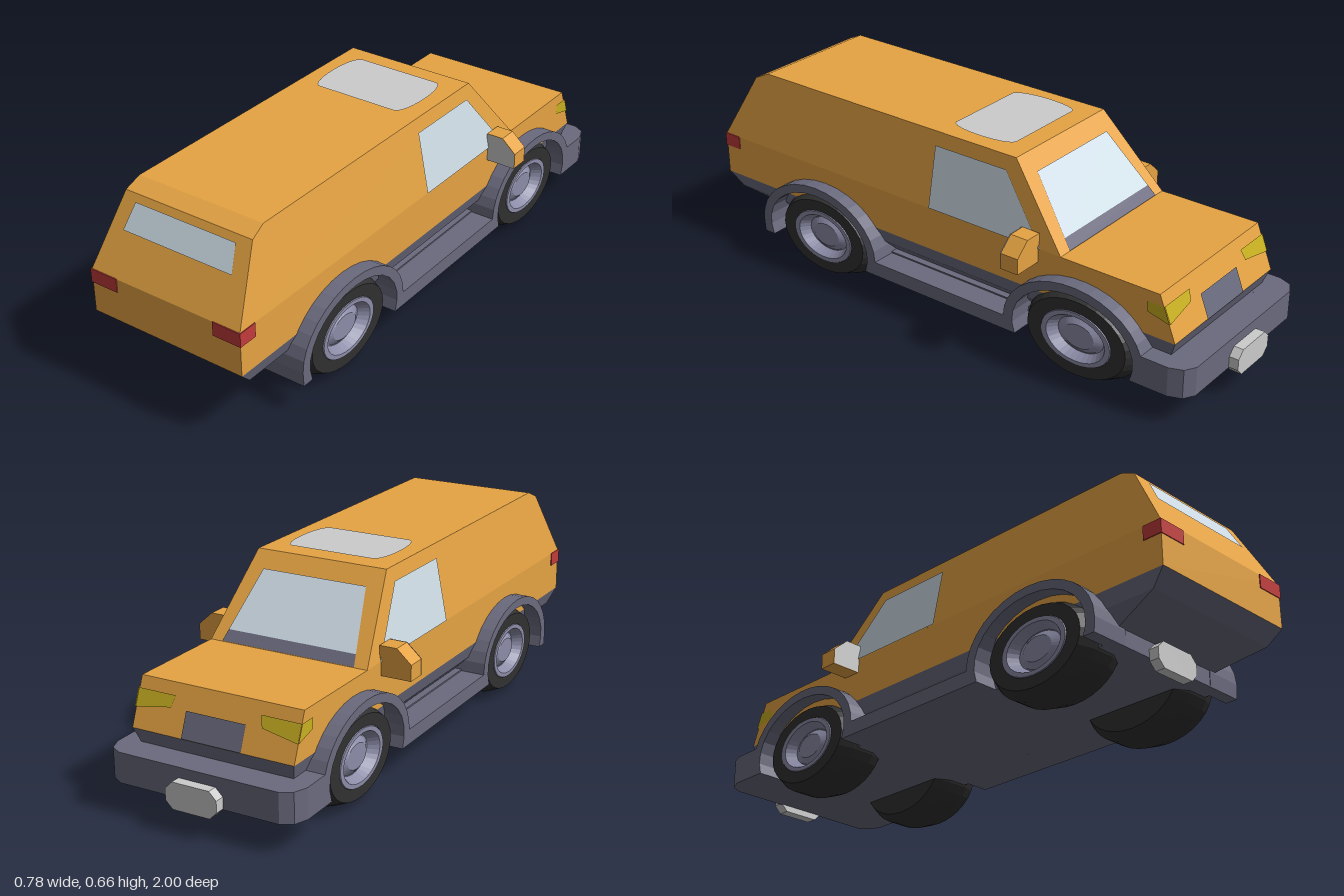
import * as THREE from 'three';

const mat = (color) => new THREE.MeshStandardMaterial({ color, side: THREE.DoubleSide });
const paint = mat(0xe5a343), trim = mat(0x6a6a7e), glass = mat(0xcfdde6), grey = mat(0xcccccc);
const rubber = mat(0x303030), metal = mat(0x8c8ca8), red = mat(0xc23b3b), yellow = mat(0xc8b020);

export function createModel() {
  const car = new THREE.Group();
  const add = (name, geo, material) => {
    const m = new THREE.Mesh(geo, material);
    m.name = name;
    car.add(m);
    return m;
  };

  // Flat-shaded geometry from a list of [x, y, z] corners, three per face
  const facets = (corners) => {
    const g = new THREE.BufferGeometry();
    g.setAttribute('position', new THREE.Float32BufferAttribute(corners.flat(), 3));
    g.computeVertexNormals();
    return g;
  };

  // Solid from a side outline of [z, y, halfWidth] points, listed counterclockwise in (z, y)
  const slab = (outline) => {
    const L = outline.map(([z, y, w]) => [-w, y, z]);
    const R = outline.map(([z, y, w]) => [w, y, z]);
    const out = [];
    const flat = outline.map(([z, y]) => new THREE.Vector2(z, y));
    for (const [a, b, c] of THREE.ShapeUtils.triangulateShape(flat, [])) {
      out.push(L[a], L[b], L[c], R[c], R[b], R[a]);
    }
    L.forEach((_, i) => {
      const j = (i + 1) % L.length;
      out.push(L[j], L[i], R[i], L[j], R[i], R[j]);
    });
    return facets(out);
  };

  // Thin flat panel, corners counterclockwise seen from outside
  const panel = (name, pts, material) => {
    const out = [];
    for (let i = 1; i < pts.length - 1; i++) out.push(pts[0], pts[i], pts[i + 1]);
    return add(name, facets(out), material);
  };
  const box = (name, x0, x1, y0, y1, z0, z1, material) => {
    const g = new THREE.BoxGeometry(x1 - x0, y1 - y0, z1 - z0);
    return add(name, g.translate((x0 + x1) / 2, (y0 + y1) / 2, (z0 + z1) / 2), material);
  };
  const shapeOf = (pts) => new THREE.Shape(pts.map(([a, b]) => new THREE.Vector2(a, b)));
  const extrude = (pts, depth) => new THREE.ExtrudeGeometry(shapeOf(pts), { depth, bevelEnabled: false });

  // Body shell and cabin
  const W = 0.285;
  const sideX = (y) => W - (y - 0.4) * 0.196;
  add('lowerBody', slab([[1, 0.25, W], [1, 0.4, W], [-0.83, 0.4, W], [-0.89, 0.25, W]].reverse()), paint);
  const cabin = [[1, 0.4], [0.875, 0.63], [0.82, 0.655], [-0.26, 0.655], [-0.47, 0.4]];
  add('cabin', slab(cabin.map(([z, y]) => [z, y, sideX(y)]).reverse()), paint);

  // Tapered underside
  add('upperUnderbody', slab([[0.95, 0.2, 0.27], [1, 0.25, W], [-0.89, 0.25, W], [-0.87, 0.2, 0.27]].reverse()), trim);
  add('lowerUnderbody', slab([[0.76, 0.15, 0.22], [0.95, 0.2, 0.27], [-0.87, 0.2, 0.27], [-0.85, 0.15, 0.22]].reverse()), trim);
  box('floor', -0.25, 0.25, 0.1, 0.155, -0.9, 0.78, trim);

  // Side skirts with flared wheel arches
  const wheelZ = [0.52, -0.55];
  const arc = (cz, rz, ry, from, to) => Array.from({ length: 17 }, (_, i) => {
    const a = from + (to - from) * i / 16;
    return [cz + rz * Math.cos(a), 0.15 + ry * Math.sin(a)];
  });
  const skirt = [
    [0.78, 0.1],
    ...arc(wheelZ[0], 0.263, 0.196, 0, Math.PI),
    ...arc(wheelZ[1], 0.263, 0.196, 0, Math.PI - 0.26),
    [-0.9, 0.2], [-0.9, 0.1],
    ...arc(wheelZ[1], 0.228, 0.166, Math.PI + 0.306, -0.306),
    ...arc(wheelZ[0], 0.228, 0.166, Math.PI + 0.306, -0.306),
  ];
  for (const [side, x] of [['left', 0.335], ['right', -0.2]]) {
    add(side + 'Skirt', extrude(skirt, 0.135).rotateY(-Math.PI / 2).translate(x, 0, 0), trim);
  }

  // Nose bumper with chamfered corners
  const bumper = [[-0.335, 0.82], [0.335, 0.82], [0.335, 0.9], [0.318, 0.945], [0.28, 0.967],
    [-0.28, 0.967], [-0.318, 0.945], [-0.335, 0.9]];
  add('bumper', extrude(bumper, 0.1).rotateX(-Math.PI / 2).translate(0, 0.1, 0), trim);

  // Blank plates at both ends
  const c = 0.025, px = 0.09, py = 0.044;
  const octagon = [[-px, -py + c], [-px + c, -py], [px - c, -py], [px, -py + c],
    [px, py - c], [px - c, py], [-px + c, py], [-px, py - c]];
  add('rearPlate', extrude(octagon, 0.035).translate(0, 0.108, 0.78), grey);
  add('nosePlate', extrude(octagon, 0.04).translate(0, 0.122, -1), grey);

  // Wheels: shouldered tyre and dished rim, flattened vertically
  const lathe = (pts) => new THREE.LatheGeometry(pts.map(([r, h]) => new THREE.Vector2(r, h)), 32)
    .toNonIndexed();
  const tyre = [[0, -0.09], [0.87, -0.09], [1, -0.04], [1, 0.04], [0.87, 0.09], [0.62, 0.09], [0.6, 0.07]];
  const rim = [[0.64, 0.08], [0.61, 0.093], [0.52, 0.093], [0.41, 0.06], [0.39, 0.06], [0.27, 0.075], [0, 0.075]];
  for (const s of [1, -1]) {
    wheelZ.forEach((z, i) => {
      const wheel = new THREE.Group();
      wheel.name = (s > 0 ? 'left' : 'right') + (i ? 'Nose' : 'Tail') + 'Wheel';
      for (const [name, pts, m] of [['tyre', tyre, rubber], ['rim', rim, metal]]) {
        const g = lathe(pts);
        g.computeVertexNormals();
        const mesh = new THREE.Mesh(g, m);
        mesh.name = name;
        wheel.add(mesh);
      }
      wheel.rotation.z = -s * Math.PI / 2;
      wheel.scale.set(0.151, 1, 0.213);
      wheel.position.set(s * 0.22, 0.151, z);
      car.add(wheel);
    });
  }

  // Windscreen, cowl and tail window
  const screenZ = (y) => -0.475 + (y - 0.4) * 0.824;
  const tailZ = (y) => 1.004 - (y - 0.4) * 0.543;
  const band = (name, zAt, y0, w0, y1, w1, dir, m) => panel(name, [
    [-dir * w0, y0, zAt(y0)], [dir * w0, y0, zAt(y0)], [dir * w1, y1, zAt(y1)], [-dir * w1, y1, zAt(y1)]], m);
  band('windscreen', screenZ, 0.435, 0.232, 0.605, 0.188, -1, glass);
  band('cowl', screenZ, 0.403, 0.24, 0.435, 0.232, -1, trim);
  band('tailWindow', tailZ, 0.53, 0.207, 0.61, 0.19, 1, glass);

  // Rounded sunroof
  const roofHatch = new THREE.Shape();
  roofHatch.moveTo(-0.15, -0.05);
  roofHatch.lineTo(0.15, -0.05);
  roofHatch.bezierCurveTo(0.195, -0.04, 0.195, 0.19, 0.15, 0.195);
  roofHatch.lineTo(-0.15, 0.195);
  roofHatch.bezierCurveTo(-0.195, 0.19, -0.195, -0.04, -0.15, -0.05);
  add('sunroof', new THREE.ShapeGeometry(roofHatch).rotateX(-Math.PI / 2).translate(0, 0.659, 0), grey);

  // Grille on the sloped nose
  const noseZ = (y) => -0.834 - (0.4 - y) * 0.4;
  band('grille', noseZ, 0.252, 0.105, 0.33, 0.105, -1, trim);

  // Mirrored details: side windows, lights and door mirrors
  for (const s of [1, -1]) {
    const side = s > 0 ? 'left' : 'right';
    const mirrored = (name, pts, m) => {
      const p = pts.map(([x, y, z]) => [s * x, y, z]);
      return panel(side + name, s > 0 ? p : p.reverse(), m);
    };
    mirrored('SideWindow', [[0.055, 0.402], [-0.395, 0.402], [-0.23, 0.61], [0.055, 0.61]]
      .map(([z, y]) => [sideX(y) + 0.004, y, z]), glass);
    mirrored('Headlight', [[W, 0.31], [0.16, 0.33], [0.15, 0.365], [W, 0.365]]
      .map(([x, y]) => [x, y, noseZ(y)]), yellow);
    mirrored('HeadlightSide', [[0.288, 0.33, -0.79], [0.288, 0.31, noseZ(0.31)],
      [0.288, 0.365, noseZ(0.365)], [0.288, 0.365, -0.79]], yellow);
    box(side + 'TailLight', s > 0 ? 0.185 : -0.288, s > 0 ? 0.288 : -0.185, 0.354, 0.401, 0.935, 1.003, red);

    const outline = [[0.28, 0.354], [0.39, 0.354], [0.39, 0.408], [0.34, 0.453], [0.28, 0.453]]
      .map(([x, y]) => [s * x, y]);
    add(side + 'MirrorHousing', extrude(outline, 0.065).translate(0, 0, -0.385), paint);
    add(side + 'MirrorGlass', new THREE.ShapeGeometry(shapeOf(outline)).translate(0, 0, -0.317), grey);
  }
  return car;
}
